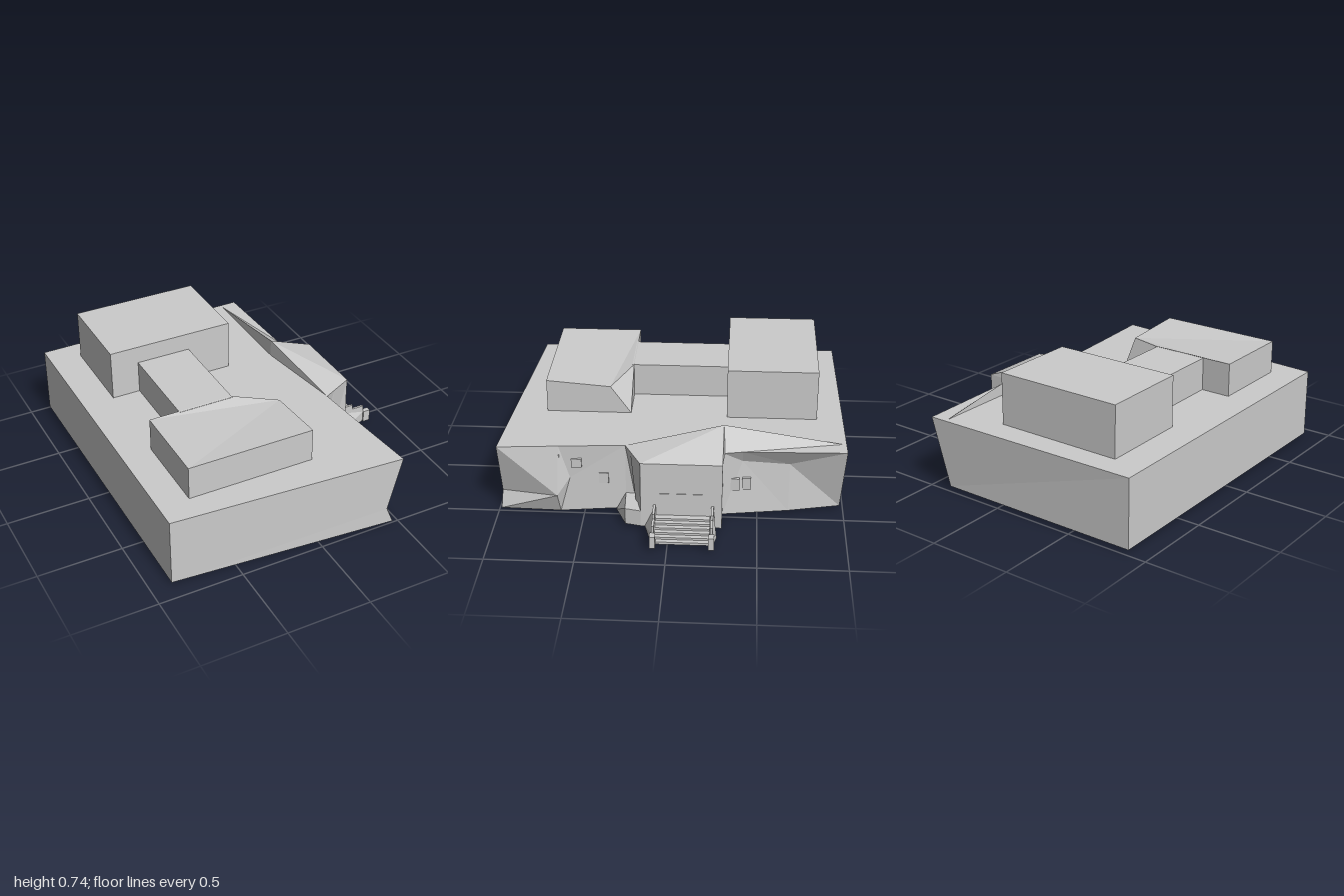
import * as THREE from 'three';

const material = new THREE.MeshStandardMaterial({ color: 0xcccccc, flatShading: true, side: THREE.DoubleSide });

function add(group, name, geometry) {
  const mesh = new THREE.Mesh(geometry, material);
  mesh.name = name;
  group.add(mesh);
  return mesh;
}

// Box given by its limits on each axis
function box(group, name, [x0, x1], [y0, y1], [z0, z1]) {
  const geometry = new THREE.BoxGeometry(x1 - x0, y1 - y0, z1 - z0);
  geometry.translate((x0 + x1) / 2, (y0 + y1) / 2, (z0 + z1) / 2);
  return add(group, name, geometry);
}

// Faceted solid: corner points and polygons, each fanned from its first corner
function facets(group, name, points, faces) {
  const positions = [];
  for (const face of faces) {
    for (let i = 1; i < face.length - 1; i++) {
      for (const k of [face[0], face[i], face[i + 1]]) positions.push(...points[k]);
    }
  }
  const geometry = new THREE.BufferGeometry();
  geometry.setAttribute('position', new THREE.Float32BufferAttribute(positions, 3));
  geometry.computeVertexNormals();
  return add(group, name, geometry);
}

// Prism between a lower and an upper loop, both counterclockwise seen from above
function loft(group, name, lower, upper) {
  const n = lower.length;
  const ring = [...lower.keys()];
  const sides = ring.map((i) => [i, (i + 1) % n, n + (i + 1) % n, n + i]);
  return facets(group, name, [...lower, ...upper],
    [[...ring].reverse(), ring.map((i) => n + i), ...sides]);
}

export function createModel() {
  const model = new THREE.Group();
  model.name = 'building';

  // Main hall: plain on three sides, irregular along the entrance side
  facets(model, 'mainHall', [
    [-0.88, 0.02, -0.98], [-0.88, 0.43, -0.98], [-0.88, 0.43, 0.9], [-0.88, 0.02, 0.9],
    [0.51, 0.43, 0.99], [0.43, 0.1, 0.985], [0.47, 0, 0.99], [0.53, 0.13, 0.65],
    [0.48, 0, 0.64], [0.48, 0.43, 0.64], [0.47, 0.22, 0.58], [0.45, 0.43, 0.26],
    [0.46, 0.02, 0.26], [0.51, 0.43, -0.3], [0.5, 0.02, -0.3], [0.49, 0.43, -0.41],
    [0.45, 0.35, -0.41], [0.42, 0.32, -0.68], [0.44, 0.02, -0.68], [0.37, 0.02, -0.98],
    [0.47, 0.43, -1],
  ], [
    [0, 3, 2, 1], [3, 6, 5, 4, 2], [19, 0, 1, 20],
    [2, 4, 9, 11, 13, 15, 20, 1], [3, 0, 19, 18, 14, 12, 8, 6],
    [4, 5, 7], [5, 6, 7], [6, 8, 7], [4, 7, 9], [9, 7, 10], [8, 10, 7],
    [9, 10, 11], [10, 8, 12], [10, 12, 11], [11, 12, 14, 13],
    [13, 14, 16], [13, 16, 15], [14, 18, 16], [18, 17, 16], [18, 19, 17],
    [19, 20, 17], [15, 16, 17], [15, 17, 20],
  ]);

  // Roof volumes
  box(model, 'backRoofBlock', [-0.69, 0.08], [0.43, 0.735], [-0.84, -0.31]);
  box(model, 'roofConnector', [-0.52, -0.19], [0.43, 0.629], [-0.31, 0.27]);
  facets(model, 'frontRoofBlock', [
    [-0.7, 0.43, 0.76], [0.055, 0.43, 0.76], [0.055, 0.43, 0.26], [-0.7, 0.43, 0.26],
    [-0.7, 0.63, 0.76], [0.055, 0.63, 0.76], [0.055, 0.6, 0.38], [-0.19, 0.63, 0.26],
    [-0.7, 0.63, 0.26],
  ], [
    [3, 2, 1, 0], [0, 1, 5, 4], [1, 2, 6, 5], [2, 7, 6], [2, 3, 8, 7], [3, 0, 4, 8],
    [4, 5, 6], [4, 6, 8], [8, 6, 7],
  ]);

  // Pitched entrance roof running back along the parapet
  facets(model, 'entranceRoof', [
    [0.37, 0.535, -0.3], [0.37, 0.43, -0.98], [0.51, 0.43, -0.31], [0.65, 0.43, -0.3],
    [0.65, 0.43, 0.16], [0.45, 0.43, 0.26], [0.37, 0.43, -0.3],
  ], [[0, 5, 4], [0, 4, 3], [0, 3, 2], [0, 2, 1], [0, 1, 6], [0, 6, 5]]);

  // Entrance block with its angled side wall and low plinth
  loft(model, 'entranceBlock',
    [[0.45, 0.02, 0.2], [0.53, 0.02, 0.19], [0.65, 0.02, 0.16], [0.65, 0.02, -0.3], [0.45, 0.02, -0.3]],
    [[0.45, 0.43, 0.26], [0.52, 0.43, 0.225], [0.65, 0.43, 0.16], [0.65, 0.43, -0.3], [0.45, 0.43, -0.3]]);
  loft(model, 'plinth',
    [[0.48, 0.02, 0.315], [0.63, 0.02, 0.25], [0.65, 0.02, 0.16], [0.45, 0.02, 0.16]],
    [[0.45, 0.12, 0.26], [0.63, 0.12, 0.25], [0.65, 0.12, 0.16], [0.45, 0.12, 0.16]]);
  box(model, 'door', [0.64, 0.653], [0.1, 0.24], [-0.23, 0.075]);

  // Entrance stairs
  const steps = 6;
  for (let i = 0; i < steps; i++) {
    box(model, 'step', [0.64, 0.83 - i * 0.028], [0.02, 0.035 + i * 0.013], [-0.235, 0.075]);
  }

  // Stepped stair walls with end posts and splayed skirts
  const profile = new THREE.Shape([
    [0.65, 0.02], [0.83, 0.02], [0.83, 0.135], [0.75, 0.135], [0.75, 0.165], [0.65, 0.165],
  ].map(([x, y]) => new THREE.Vector2(x, y)));
  for (const [z, side, flare] of [[0.08, 1, 0.05], [-0.247, -1, 0.02]]) {
    const wall = add(model, 'stairWall', new THREE.ExtrudeGeometry(profile, { depth: 0.014, bevelEnabled: false }));
    wall.position.z = z - 0.007;
    box(model, 'stairPost', [0.83, 0.875], [0.02, 0.095], [z - 0.016, z + 0.016]);
    const skirtX = side > 0 ? 0.65 : 0.75;
    const edge = z + side * 0.007;
    facets(model, 'stairSkirt', [
      [0.65, 0.13, edge], [skirtX, 0.02, edge + side * flare], [0.83, 0.09, edge], [0.83, 0.02, edge], [0.65, 0.02, edge],
    ], side > 0 ? [[0, 1, 2], [1, 3, 2], [0, 4, 1]] : [[0, 2, 1], [1, 2, 3], [0, 1, 4]]);
  }

  // Small windows along the entrance side
  for (const [x, y, z, w, h] of [
    [0.475, 0.32, 0.54, 0.06, 0.055], [0.462, 0.22, 0.385, 0.055, 0.065], [0.482, 0.36, 0.645, 0.02, 0.035],
    [0.478, 0.21, -0.37, 0.05, 0.075], [0.468, 0.21, -0.435, 0.05, 0.075],
  ]) {
    box(model, 'window', [x - 0.012, x + 0.006], [y - h / 2, y + h / 2], [z - w / 2, z + w / 2]);
  }

  return model;
}
